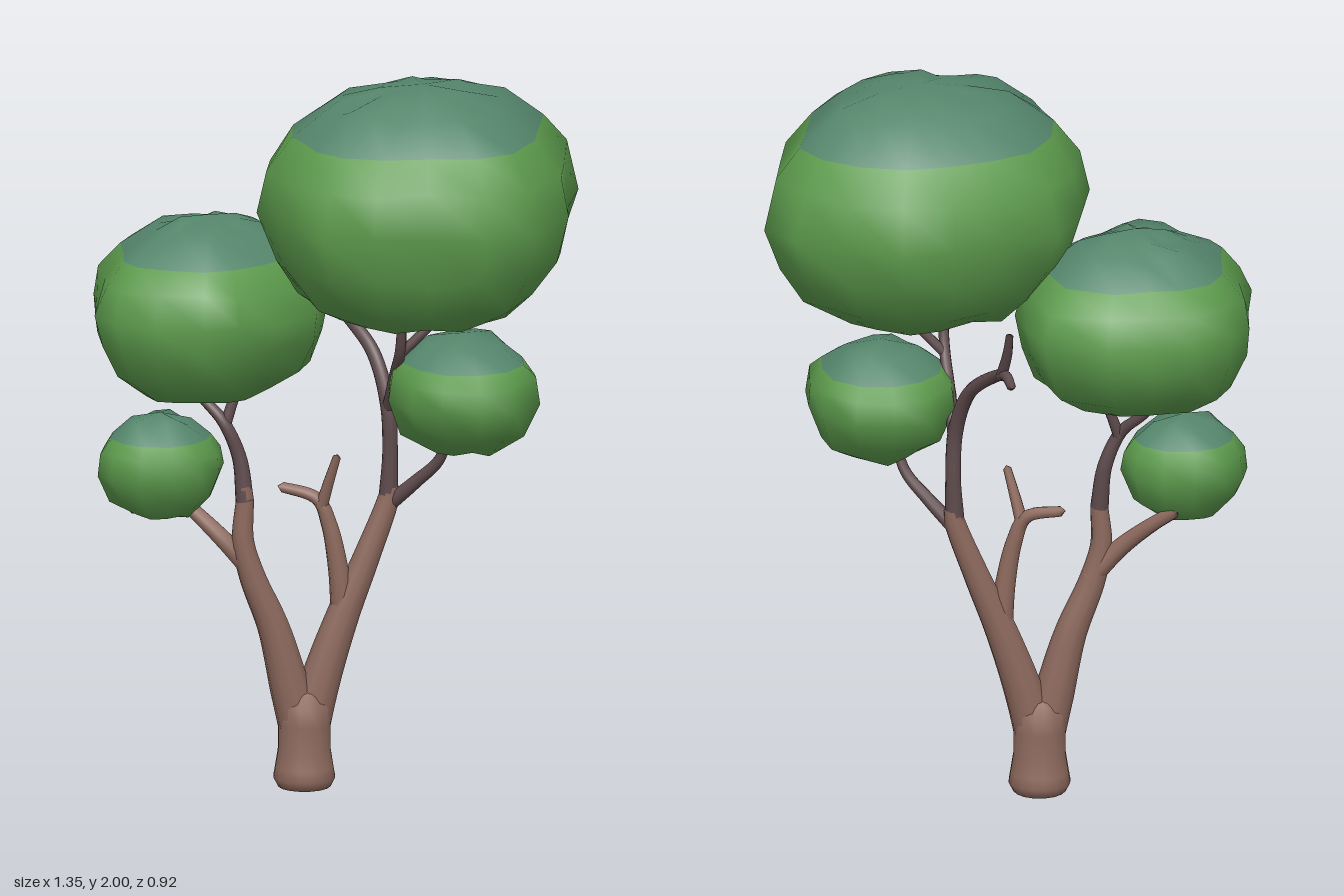
import * as THREE from 'three';

const mat = (name, color, side = THREE.FrontSide) => {
  const m = new THREE.MeshStandardMaterial({ color, side });
  m.name = name;
  return m;
};

// small repeatable wobble in -1..1
const wobble = (i, j, seed) => {
  const s = Math.sin(i * 12.99 + j * 78.23 + seed * 37.7) * 43758.55;
  return (s - Math.floor(s)) * 2 - 1;
};

// Leaf cluster: a plan outline scaled row by row; rows from capRow up get the cap material.
function leafCluster(name, centre, outline, rows, bottom, top, capRow, seed, materials) {
  const n = outline.length, pos = [], index = [];
  const [cx, cz] = centre;
  rows.forEach(([y, s], i) => outline.forEach(([x, z], j) => {
    const k = s * (1 + 0.025 * wobble(i, j, seed));
    const dy = i === capRow ? 0 : 0.012 * wobble(j, i, seed);
    pos.push(cx + (x - cx) * k, Math.min(top, Math.max(bottom, y + dy)), cz + (z - cz) * k);
  }));
  const low = rows.length * n, high = low + 1;
  pos.push(cx, bottom, cz, cx, top, cz);
  const at = (i, j) => i * n + (j % n);
  for (let j = 0; j < n; j++) index.push(low, at(0, j), at(0, j + 1));
  let split = 0;
  for (let i = 0; i < rows.length - 1; i++) {
    if (i === capRow) split = index.length;
    for (let j = 0; j < n; j++) {
      const a = at(i, j), b = at(i + 1, j), c = at(i + 1, j + 1), d = at(i, j + 1);
      index.push(a, b, c, a, c, d);
    }
  }
  for (let j = 0; j < n; j++) index.push(at(rows.length - 1, j), high, at(rows.length - 1, j + 1));
  const g = new THREE.BufferGeometry();
  g.setAttribute('position', new THREE.Float32BufferAttribute(pos, 3));
  g.setIndex(index);
  g.computeVertexNormals();
  g.addGroup(0, split, 0);
  g.addGroup(split, index.length - split, 1);
  const mesh = new THREE.Mesh(g, materials);
  mesh.name = name;
  return mesh;
}

// Small round cluster with an elliptical plan
function smallCluster(name, [x, y, z], [rx, ry, rz], seed, materials) {
  const outline = Array.from({ length: 12 }, (_, j) => {
    const a = (j / 12) * Math.PI * 2, k = 1 + 0.03 * wobble(j, 3, seed);
    return [x + Math.cos(a) * rx * k, z + Math.sin(a) * rz * k];
  });
  const rows = [[-0.95, 0.48], [-0.6, 0.82], [-0.1, 1], [0.3, 0.95], [0.54, 0.8], [0.85, 0.48]]
    .map(([v, s]) => [y + v * ry, s]);
  return leafCluster(name, [x, z], outline, rows, y - ry, y + ry, 4, seed, materials);
}

// Tapered limb through points [x, y, z, radius], closed at the tip
function limb(name, points, material) {
  const curve = new THREE.CatmullRomCurve3(points.map(p => new THREE.Vector3(p[0], p[1], p[2])));
  const segs = points.length * 6, sides = 10;
  const g = new THREE.TubeGeometry(curve, segs, 1, sides);
  const p = g.attributes.position, v = new THREE.Vector3();
  for (let i = 0; i <= segs; i++) {
    const u = i / segs, c = curve.getPointAt(u);
    const t = curve.getUtoTmapping(u) * (points.length - 1);
    const k = Math.min(points.length - 2, Math.floor(t));
    const r = i === segs ? 0 : THREE.MathUtils.lerp(points[k][3], points[k + 1][3], t - k);
    for (let j = 0; j <= sides; j++) {
      const q = i * (sides + 1) + j;
      v.fromBufferAttribute(p, q).sub(c).multiplyScalar(r).add(c);
      p.setXYZ(q, v.x, v.y, v.z);
    }
  }
  const mesh = new THREE.Mesh(g, material);
  mesh.name = name;
  return mesh;
}

export function createModel() {
  const tree = new THREE.Group();
  tree.name = 'tree';
  const bark = mat('bark brown', 0x8f6b5f);
  const twig = mat('dark twig', 0x604c4e);
  const leaves = [mat('leaf green', 0x5c9a4c), mat('leaf cap teal', 0x55866c)];

  // Trunk foot
  const foot = new THREE.Mesh(new THREE.LatheGeometry(
    [[0, 0], [0.072, 0.004], [0.085, 0.03], [0.08, 0.06], [0.072, 0.11], [0.072, 0.18], [0.074, 0.23], [0.05, 0.27], [0, 0.285]]
      .map(([r, y]) => new THREE.Vector2(r, y)), 16), bark);
  foot.position.set(-0.07, 0, -0.135);
  foot.name = 'trunkFoot';
  tree.add(foot);

  // Brown main limbs
  const Z = -0.135;
  [
    ['leftTrunk', [[-0.07, 0.12, Z, 0.06], [-0.03, 0.28, Z, 0.055], [0.035, 0.47, Z, 0.045], [0.105, 0.64, Z, 0.036], [0.165, 0.8, Z, 0.029], [0.172, 0.85, Z, 0.02]]],
    ['rightTrunk', [[-0.07, 0.12, Z, 0.06], [-0.11, 0.28, Z, 0.055], [-0.155, 0.45, Z, 0.044], [-0.215, 0.6, Z, 0.036], [-0.24, 0.7, Z, 0.03], [-0.235, 0.82, Z, 0.024], [-0.24, 0.87, Z, 0.018]]],
    ['lowRightBranch', [[-0.21, 0.61, Z, 0.03], [-0.29, 0.7, -0.16, 0.025], [-0.37, 0.78, -0.21, 0.02], [-0.43, 0.83, -0.25, 0.017]]],
    ['innerBranch', [[0.04, 0.47, Z, 0.036], [0.025, 0.6, Z, 0.028], [0, 0.73, -0.14, 0.022], [-0.03, 0.8, -0.15, 0.018], [-0.13, 0.83, -0.2, 0.014]]],
    ['innerTwig', [[-0.02, 0.78, -0.145, 0.018], [-0.005, 0.85, -0.125, 0.015], [0.015, 0.935, -0.1, 0.011]]],
  ].forEach(([name, pts]) => tree.add(limb(name, pts, bark)));

  // Dark upper branches
  [
    ['leftUpperBranch', [[0.163, 0.79, Z, 0.027], [0.168, 0.92, Z, 0.021], [0.162, 1.06, -0.14, 0.021], [0.135, 1.19, -0.2, 0.019], [0.085, 1.27, -0.3, 0.017], [0.068, 1.3, -0.38, 0.015], [0.065, 1.29, -0.46, 0.012]]],
    ['backTwig', [[0.075, 1.285, -0.345, 0.016], [0.066, 1.36, -0.385, 0.014], [0.064, 1.435, -0.415, 0.01]]],
    ['forwardBranch', [[0.165, 1.05, Z, 0.019], [0.165, 1.16, -0.06, 0.016], [0.165, 1.25, 0.01, 0.015], [0.16, 1.42, 0.05, 0.011]]],
    ['forwardTwig', [[0.163, 1.23, 0, 0.014], [0.23, 1.3, 0.02, 0.013], [0.33, 1.4, 0.04, 0.01]]],
    ['lowLeftBranch', [[0.165, 0.78, Z, 0.022], [0.23, 0.85, -0.09, 0.018], [0.285, 0.92, -0.045, 0.015], [0.31, 1.03, -0.01, 0.012]]],
    ['rightUpperBranch', [[-0.235, 0.81, Z, 0.025], [-0.248, 0.93, -0.145, 0.02], [-0.29, 1.03, -0.155, 0.017], [-0.34, 1.09, -0.2, 0.014], [-0.4, 1.17, -0.25, 0.011]]],
    ['rightUpperTwig', [[-0.285, 1.02, -0.155, 0.016], [-0.26, 1.09, -0.16, 0.014], [-0.225, 1.17, -0.16, 0.011]]],
  ].forEach(([name, pts]) => tree.add(limb(name, pts, twig)));

  // Large leaf clusters
  tree.add(leafCluster('topLeaves', [0.22, 0.05],
    [[0.67, -0.07], [0.61, 0.12], [0.57, 0.27], [0.45, 0.42], [0.31, 0.46], [0.15, 0.44], [0, 0.42], [-0.12, 0.35], [-0.2, 0.25],
      [-0.21, 0.14], [-0.23, 0.04], [-0.19, -0.12], [-0.1, -0.26], [0.05, -0.31], [0.2, -0.355], [0.35, -0.36], [0.5, -0.29], [0.61, -0.2]],
    [[1.37, 0.57], [1.43, 0.77], [1.53, 0.92], [1.66, 1], [1.78, 0.95], [1.87, 0.79], [1.95, 0.54], [1.985, 0.28]],
    1.36, 2, 5, 1, leaves));
  tree.add(leafCluster('rightLeaves', [-0.33, -0.15],
    [[0, -0.12], [-0.06, 0.01], [-0.2, 0.1], [-0.31, 0.15], [-0.41, 0.155], [-0.54, 0.1], [-0.63, 0.03], [-0.67, -0.05], [-0.645, -0.18],
      [-0.62, -0.32], [-0.55, -0.42], [-0.44, -0.465], [-0.33, -0.45], [-0.2, -0.455], [-0.04, -0.36], [-0.02, -0.25]],
    [[1.135, 0.55], [1.2, 0.82], [1.29, 0.95], [1.37, 1], [1.45, 0.92], [1.515, 0.76], [1.575, 0.47], [1.6, 0.25]],
    1.125, 1.615, 5, 2, leaves));

  // Small leaf clusters
  tree.add(smallCluster('lowRightLeaves', [-0.467, 0.925, -0.145], [0.175, 0.145, 0.16], 3, leaves));
  tree.add(smallCluster('lowLeftLeaves', [0.342, 1.12, 0.005], [0.205, 0.165, 0.225], 4, leaves));
  return tree;
}
